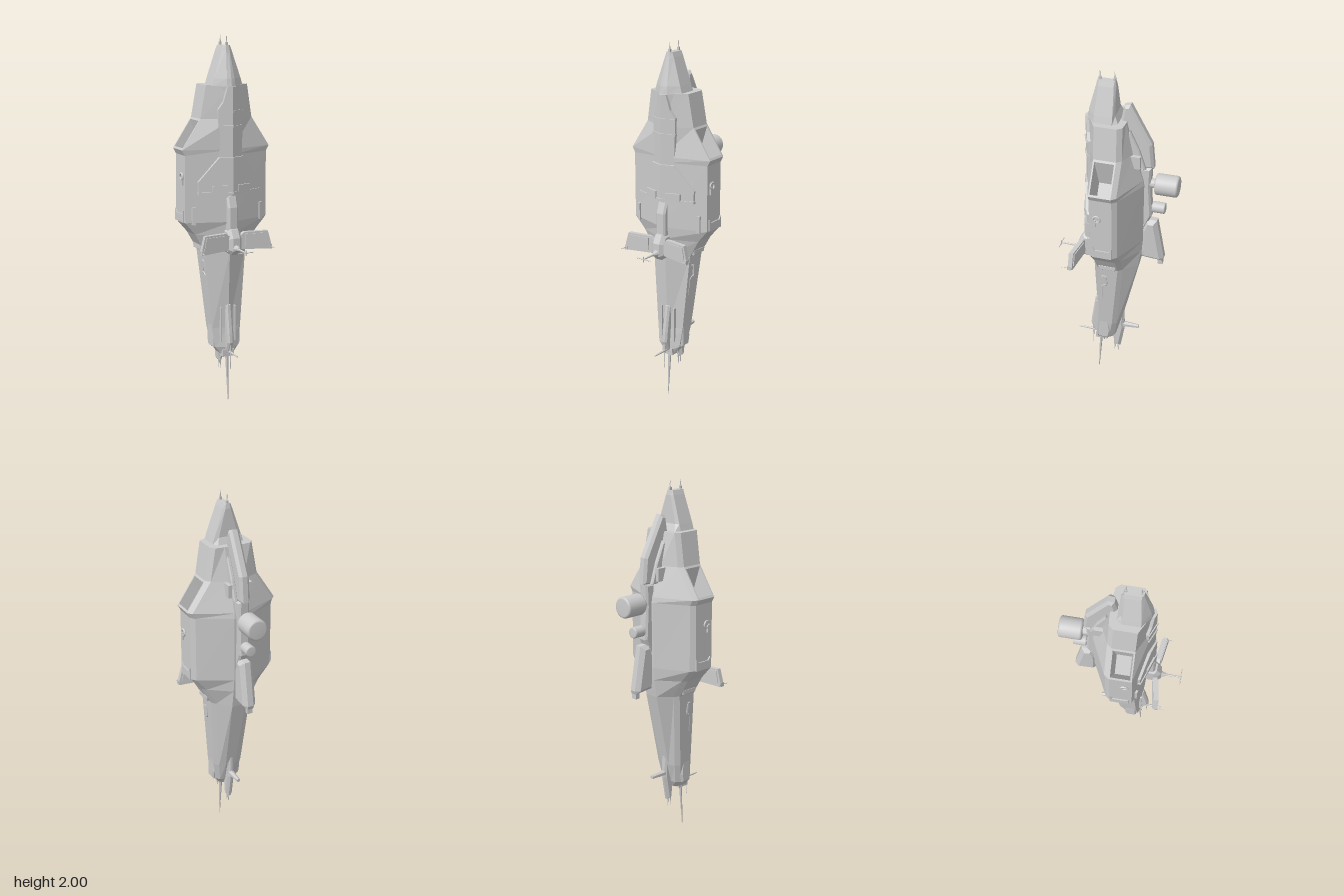
import * as THREE from 'three';

const flat = new THREE.MeshStandardMaterial({ color: 0xcccccc, flatShading: true });
const smooth = new THREE.MeshStandardMaterial({ color: 0xcccccc });
const V = (x, y, z) => new THREE.Vector3(x, y, z);

export function createModel() {
  const model = new THREE.Group();

  function add(name, geo, mat = flat) {
    const mesh = new THREE.Mesh(geo, mat);
    mesh.name = name;
    model.add(mesh);
    return mesh;
  }
  // Copy a geometry to the other side of x = 0, keeping faces outward
  function mirrored(geo) {
    const g = geo.index ? geo.toNonIndexed() : geo.clone();
    g.scale(-1, 1, 1);
    const p = g.attributes.position, a = V(), b = V();
    for (let i = 0; i < p.count; i += 3) {
      a.fromBufferAttribute(p, i + 1);
      b.fromBufferAttribute(p, i + 2);
      p.setXYZ(i + 1, b.x, b.y, b.z);
      p.setXYZ(i + 2, a.x, a.y, a.z);
    }
    g.computeVertexNormals();
    return g;
  }
  function pair(name, geo) {
    add(name + 'Left', geo);
    add(name + 'Right', mirrored(geo));
  }
  function fromQuads(quads) {
    const pos = [];
    for (const [a, b, c, d] of quads) for (const v of [a, b, c, a, c, d]) pos.push(v.x, v.y, v.z);
    const g = new THREE.BufferGeometry();
    g.setAttribute('position', new THREE.Float32BufferAttribute(pos, 3));
    g.computeVertexNormals();
    return g;
  }
  // Skin rings stacked upwards; skip(j, i) leaves a face open
  function loft(rings, skip = () => false) {
    const quads = [], n = rings[0].length;
    for (let j = 0; j < rings.length - 1; j++)
      for (let i = 0; i < n; i++) {
        const k = (i + 1) % n;
        if (!skip(j, i)) quads.push([rings[j][i], rings[j][k], rings[j + 1][k], rings[j + 1][i]]);
      }
    const lo = rings[0], hi = rings[rings.length - 1];
    for (let i = 1; i < n - 1; i++) {
      quads.push([lo[0], lo[i + 1], lo[i], lo[i]]);
      quads.push([hi[0], hi[i], hi[i + 1], hi[i + 1]]);
    }
    return fromQuads(quads);
  }
  // Full ring from its left half; the first point lies on x = 0
  const ring = (y, half) => [
    ...half.map(([x, z]) => V(x, y, z)),
    ...half.slice(1).reverse().map(([x, z]) => V(-x, y, z)),
  ];
  const outline = pts => new THREE.Shape(pts.map(p => new THREE.Vector2(...p)));
  // Upright plate with a (z, y) outline
  function fin(pts, t, bevel = 0.01) {
    const g = new THREE.ExtrudeGeometry(outline(pts), {
      depth: t - 2 * bevel, bevelEnabled: bevel > 0, bevelThickness: bevel,
      bevelSize: bevel, bevelOffset: -bevel, bevelSegments: 1,
    });
    return g.translate(0, 0, bevel - t / 2).rotateY(-Math.PI / 2);
  }
  // Plate with an (x, y) outline, its front at z, sheared along x
  function drape(pts, depth, z, slope) {
    const g = new THREE.ExtrudeGeometry(outline(pts), { depth, bevelEnabled: false });
    const p = g.attributes.position;
    for (let i = 0; i < p.count; i++) p.setZ(i, p.getZ(i) + z - depth + slope * p.getX(i));
    g.computeVertexNormals();
    return g;
  }
  const box = (w, h, d, x, y, z) => new THREE.BoxGeometry(w, h, d).translate(x, y, z);
  function rod(name, a, b, r0, r1 = r0, sides = 6) {
    const dir = b.clone().sub(a), m = add(name, new THREE.CylinderGeometry(r1, r0, dir.length(), sides));
    m.position.copy(a).addScaledVector(dir, 0.5);
    m.quaternion.setFromUnitVectors(V(0, 1, 0), dir.normalize());
  }

  // Hull stations: y, side x, side front z, side back z, keel z, spine half width, spine z
  const stations = [
    [0.27, 0.04, 0.1, 0.05, 0.125, 0.015, 0.02],
    [0.31, 0.07, 0.1, 0.03, 0.125, 0.025, 0],
    [0.42, 0.085, 0.09, 0.01, 0.115, 0.03, -0.03],
    [0.85, 0.122, 0.075, -0.035, 0.135, 0.04, -0.13],
    [0.95, 0.18, 0.08, -0.035, 0.155, 0.04, -0.145],
    [1.02, 0.24, 0.085, -0.035, 0.162, 0.04, -0.152],
    [1.38, 0.24, 0.085, -0.035, 0.16, 0.04, -0.155],
    [1.41, 0.256, 0.085, -0.035, 0.16, 0.04, -0.15],
    [1.57, 0.15, 0.085, -0.035, 0.16, 0.04, -0.1],
    [1.745, 0.12, 0.09, -0.03, 0.152, 0.05, -0.06],
  ];
  const rings = stations.map(([y, x, f, b, k, w, s]) =>
    ring(y, [[0, k], [x, f], [x, b], [x - 0.02, b - 0.025], [w, s]]));
  const intakeRow = 7;
  add('hull', loft(rings, (j, i) => j === intakeRow && (i === 1 || i === 7)));

  // Side intakes: frame around a pocket in the sloping shoulder
  const r0 = rings[intakeRow], r1 = rings[intakeRow + 1];
  const rim = [r0[1], r0[2], r1[2], r1[1]];
  const mid = rim.reduce((s, v) => s.add(v), V(0, 0, 0)).multiplyScalar(0.25);
  const mouth = rim.map(v => v.clone().lerp(mid, 0.13));
  const floor = mouth.map(v => v.clone().lerp(mid, 0.25).add(V(-0.05, -0.13, 0)));
  const faces = [floor];
  for (let i = 0; i < 4; i++) {
    const k = (i + 1) % 4;
    faces.push([rim[i], rim[k], mouth[k], mouth[i]], [mouth[i], mouth[k], floor[k], floor[i]]);
  }
  pair('intake', fromQuads(faces));

  // Bow
  add('bow', loft([
    ring(1.6, [[0, 0.15], [0.03, 0.14], [0.09, 0.09], [0.09, -0.01], [0.06, -0.04]]),
    ring(1.74, [[0, 0.153], [0.025, 0.145], [0.088, 0.1], [0.088, 0.005], [0.07, -0.025]]),
    ring(1.78, [[0, 0.146], [0.022, 0.14], [0.076, 0.1], [0.076, 0.005], [0.055, -0.005]]),
    ring(1.925, [[0, 0.105], [0.01, 0.105], [0.028, 0.09], [0.028, 0.01], [0.015, 0]]),
    ring(1.95, [[0, 0.1], [0.008, 0.1], [0.018, 0.09], [0.018, 0.012], [0.01, 0.005]]),
  ]));
  for (const z of [0.088, 0.012]) {
    add('bowAntennaBase', box(0.012, 0.02, 0.012, 0, 1.955, z));
    rod('bowAntenna', V(0, 1.95, z), V(0, 2, z), 0.005, 0.001);
  }

  // Raised plating on the front, bent along the keel
  pair('upperPlate', drape([[0, 1.36], [0.068, 1.36], [0.07, 1.62], [0.045, 1.66], [0.025, 1.74], [0, 1.74]], 0.03, 0.168, -0.42));
  pair('lowerPlate', drape([[0, 1.18], [0.175, 1.18], [0.178, 1.24], [0.07, 1.37], [0, 1.37]], 0.035, 0.177, -0.33));
  for (const y of [1.53, 1.61]) pair('plateBand', drape([[0, y - 0.006], [0.073, y - 0.006], [0.073, y + 0.006], [0, y + 0.006]], 0.02, 0.174, -0.42));
  pair('plateEdge', drape([[0, 1.172], [0.18, 1.172], [0.18, 1.185], [0, 1.185]], 0.03, 0.183, -0.33));
  pair('plateHatch', drape([[0.03, 1.18], [0.11, 1.18], [0.11, 1.22], [0.03, 1.22]], 0.02, 0.187, -0.33));
  pair('frontSlot', drape([[0.19, 1.01], [0.207, 1.01], [0.207, 1.105], [0.19, 1.105]], 0.02, 0.176, -0.33));

  // Flank fittings
  pair('flankBracket', fin([[0.07, 1.02], [-0.035, 1.02], [-0.035, 1.085], [-0.02, 1.065], [0.055, 1.065], [0.07, 1.085]], 0.012, 0).translate(0.241, 0, 0));
  pair('flankRing', new THREE.TorusGeometry(0.018, 0.006, 6, 16).rotateY(Math.PI / 2).translate(0.243, 1.265, 0.045));
  pair('flankKnob', box(0.012, 0.04, 0.016, 0.243, 1.24, 0.055));
  const hook = new THREE.CatmullRomCurve3([V(0.098, 0.62, 0.06), V(0.108, 0.72, 0.055), V(0.113, 0.73, 0.03), V(0.117, 0.8, 0.035), V(0.116, 0.79, 0.055)], false, 'catmullrom', 0.1);
  pair('flankHook', new THREE.TubeGeometry(hook, 16, 0.006, 5));
  pair('flankPanel', fin([[0.065, 0.86], [-0.025, 0.86], [-0.035, 0.89], [0.07, 0.89]], 0.02, 0.004).translate(0.135, 0, 0));

  // Chin gondola with wings and boom
  add('chin', fin([[0.13, 1.16], [0.16, 1.16], [0.18, 1.1], [0.18, 0.98], [0.13, 0.9]], 0.06));
  add('gondola', fin([[0.12, 0.99], [0.19, 0.985], [0.215, 0.94], [0.215, 0.87], [0.19, 0.845], [0.12, 0.85]], 0.075, 0.018));
  pair('wing', drape([[0.025, 0.945], [0.055, 0.968], [0.185, 0.968], [0.207, 0.885], [0.2, 0.868], [0.04, 0.875]], 0.024, 0.192, 0.15));
  pair('wingPanel', drape([[0.06, 0.958], [0.178, 0.958], [0.192, 0.89], [0.06, 0.888]], 0.034, 0.197, 0.15));
  for (const s of [-1, 1]) {
    add('wingTip', box(0.014, 0.024, 0.022, s * 0.2, 0.88, 0.215));
    rod('wingSpike', V(s * 0.2, 0.88, 0.21), V(s * 0.207, 0.88, 0.26), 0.005, 0.001);
  }
  add('boomMount', new THREE.CylinderGeometry(0.008, 0.022, 0.03, 8).rotateX(Math.PI / 2).translate(0, 0.885, 0.225));
  rod('boom', V(0, 0.885, 0.2), V(0, 0.885, 0.326), 0.008, 0.004);
  rod('boomCrossbar', V(-0.045, 0.885, 0.324), V(0.045, 0.885, 0.324), 0.0025);
  rod('boomMast', V(0, 0.87, 0.324), V(0, 0.9, 0.324), 0.003);

  // Dorsal fin and side rails
  add('dorsalFin', fin([[-0.02, 1.71], [-0.04, 1.825], [-0.075, 1.835], [-0.19, 1.62], [-0.203, 1.48], [-0.14, 1.47], [-0.1, 1.47]], 0.056, 0.014));
  pair('dorsalRail', fin([[-0.06, 1.67], [-0.08, 1.7], [-0.13, 1.59], [-0.165, 1.48], [-0.11, 1.48]], 0.024, 0.006).translate(0.036, 0, 0));
  pair('dorsalBlock', box(0.022, 0.07, 0.05, 0.058, 1.53, -0.115));
  add('dorsalBase', fin([[-0.13, 1.48], [-0.19, 1.48], [-0.185, 1.36], [-0.195, 1.18], [-0.16, 1.1], [-0.13, 1.1]], 0.06));

  // Round tanks facing aft
  function tank(name, r, y, z0, z1) {
    const l = z0 - z1, e = r * 0.2;
    const pts = [[0, 0], [r - e, 0], [r - 0.3 * e, 0.3 * e], [r, e], [r, l - e], [r - 0.3 * e, l - 0.3 * e], [r - e, l], [0, l]];
    const g = new THREE.LatheGeometry(pts.map(p => new THREE.Vector2(...p)), 32);
    add(name, g.rotateX(-Math.PI / 2).translate(0, y, z0), smooth);
    rod(name + 'Strut', V(0, y, -0.14), V(0, y, z0 - 0.01), r * 0.45, r * 0.45, 12);
  }
  tank('largeTank', 0.057, 1.378, -0.21, -0.335);
  tank('smallTank', 0.03, 1.23, -0.195, -0.266);

  // Lower dorsal fin
  add('lowerFin', fin([[-0.14, 1.09], [-0.165, 1.155], [-0.225, 1.15], [-0.268, 0.91], [-0.262, 0.89], [-0.145, 0.9], [-0.14, 0.95]], 0.076, 0.022));
  add('lowerFinFoot', box(0.03, 0.035, 0.025, 0, 0.88, -0.247));

  // Stern: blade, pods, nozzle block and antennas
  add('sternBlade', fin([[0.02, 0.42], [-0.04, 0.52], [-0.045, 0.34], [-0.02, 0.2], [0.015, 0.2], [0.03, 0.32]], 0.04, 0.014));
  rod('bladeSpar', V(0, 0.365, -0.03), V(0, 0.365, -0.13), 0.018, 0.011);
  pair('sternPod', fin([[0.09, 0.31], [0.03, 0.31], [0.02, 0.36], [0.03, 0.47], [0.06, 0.49], [0.09, 0.42]], 0.026, 0.008).translate(0.073, 0, 0));
  pair('sternRail', box(0.008, 0.2, 0.02, 0.042, 0.44, 0.108));
  add('sternBlock', box(0.07, 0.04, 0.07, 0, 0.275, 0.085));
  add('sternNose', fin([[0.1, 0.56], [0.125, 0.55], [0.15, 0.39], [0.155, 0.34], [0.13, 0.28], [0.1, 0.28]], 0.036));
  rod('sternBoom', V(0, 0.285, 0.13), V(0, 0.285, 0.232), 0.008, 0.004);
  rod('frontAntenna', V(0, 0.34, 0.145), V(0, 0.18, 0.145), 0.006, 0.001);
  rod('mainAntenna', V(0, 0.28, 0.095), V(0, 0, 0.113), 0.01, 0.002);
  for (const z of [-0.005, 0.015]) rod('sternAntenna', V(0, 0.24, z), V(0, 0.152, z), 0.007, 0.001);
  for (const s of [-1, 1]) rod('sternSpike', V(s * 0.035, 0.29, 0.07), V(s * 0.035, 0.25, 0.07), 0.01, 0.003);

  return model;
}
